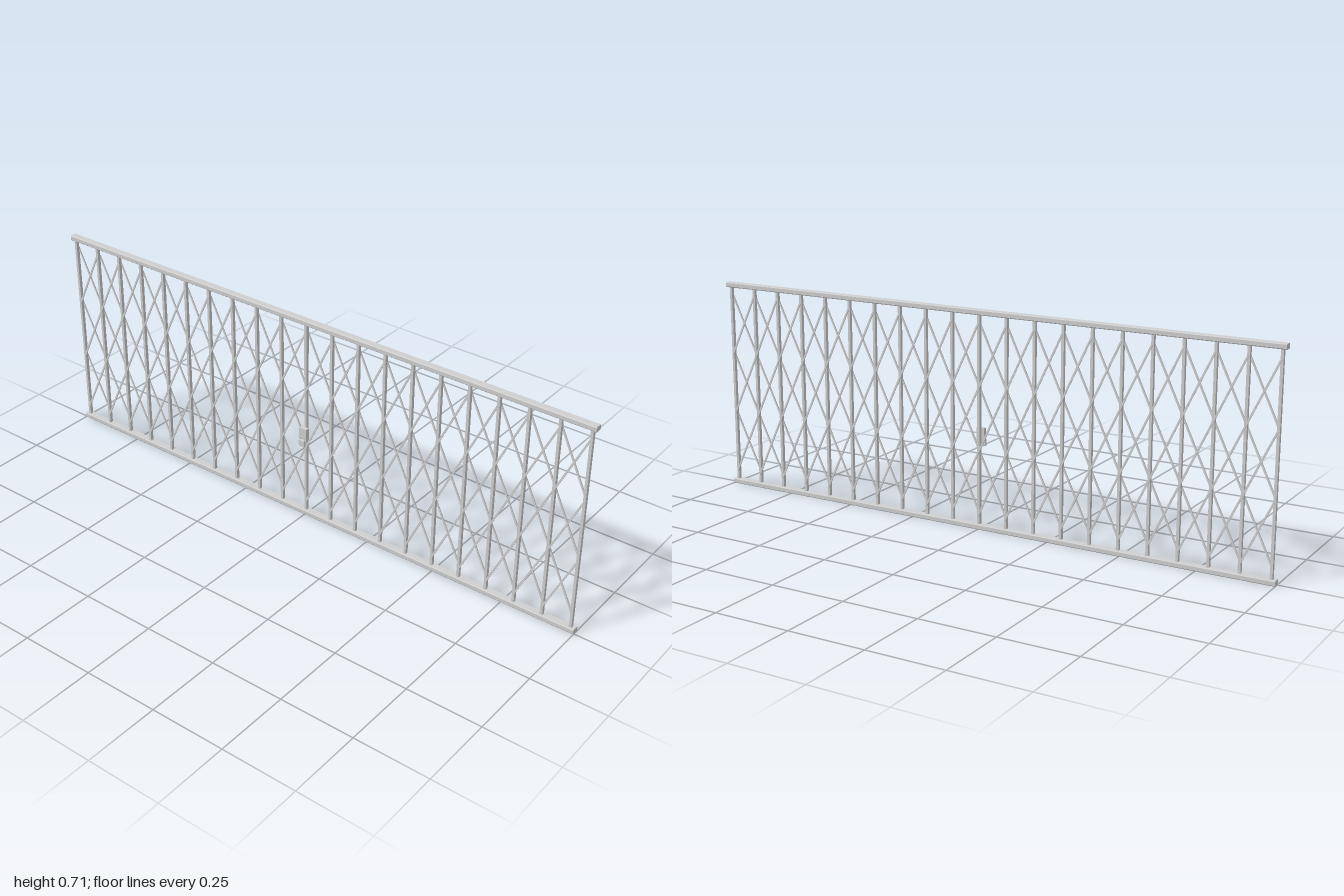
import * as THREE from 'three';
import { RoundedBoxGeometry } from 'three/addons/geometries/RoundedBoxGeometry.js';

export function createModel() {
  const gate = new THREE.Group();
  gate.name = 'foldingGate';
  const steel = new THREE.MeshStandardMaterial({ color: 0xcfcfcf });
  steel.name = 'lightGreySteel';

  const add = (name, geometry, x, y, z, parent = gate) => {
    const mesh = new THREE.Mesh(geometry, steel);
    mesh.name = name;
    mesh.position.set(x, y, z);
    parent.add(mesh);
    return mesh;
  };

  // Top and bottom rails with chamfered long edges
  const w = 0.0122, h = 0.0085, c = 0.0025;
  const section = new THREE.Shape([
    [-w, -h + c], [-w + c, -h], [w - c, -h], [w, -h + c],
    [w, h - c], [w - c, h], [-w + c, h], [-w, h - c],
  ].map(([x, y]) => new THREE.Vector2(x, y)));
  const railGeo = new THREE.ExtrudeGeometry(section, { depth: 2, bevelEnabled: false });
  railGeo.translate(0, 0, -1).rotateY(Math.PI / 2);
  add('bottomRail', railGeo, 0, 0.0095, -0.0072);
  add('topRail', railGeo, 0, 0.7065, -0.0072);

  // Upright bars
  const bays = 20, halfWidth = 0.985, step = (2 * halfWidth) / bays;
  const barGeo = new THREE.BoxGeometry(0.009, 0.69, 0.011);
  for (let i = 0; i <= bays; i++) {
    add('uprightBar', barGeo, -halfWidth + i * step, 0.3575, -0.0065);
  }

  // Lattice strips: each climbs three levels over three bays, cut off at the gate ends
  const low = 0.047, rise = 0.2075, levels = 3;
  const lattice = new THREE.Group();
  lattice.name = 'lattice';
  gate.add(lattice);
  for (const side of [1, -1]) {
    for (let k = 1 - levels; k < bays; k++) {
      const first = Math.max(0, -k), last = Math.min(levels, bays - k);
      const count = last - first, mid = (first + last) / 2;
      const geo = new THREE.BoxGeometry(0.006, Math.hypot(step, rise) * count, 0.003);
      const strip = add(side > 0 ? 'frontStrip' : 'rearStrip', geo,
        side * (-halfWidth + (k + mid) * step), low + mid * rise,
        side > 0 ? -0.0015 : -0.0138, lattice);
      strip.rotation.z = -side * Math.atan2(step, rise);
    }
  }

  // Lock case with hanging padlock
  const lock = new THREE.Group();
  lock.name = 'lock';
  gate.add(lock);
  add('lockCase', new THREE.BoxGeometry(0.028, 0.041, 0.014), 0, 0.3135, 0.006, lock);
  add('padlockBody', new RoundedBoxGeometry(0.024, 0.023, 0.009, 2, 0.002), 0, 0.2835, 0.0165, lock);
  const shackle = new THREE.CatmullRomCurve3([
    [-0.007, 0.292], [-0.007, 0.3], [0, 0.306], [0.007, 0.3], [0.007, 0.292],
  ].map(([x, y]) => new THREE.Vector3(x, y, 0)));
  add('padlockShackle', new THREE.TubeGeometry(shackle, 16, 0.0017, 8), 0, 0, 0.0155, lock);

  return gate;
}
